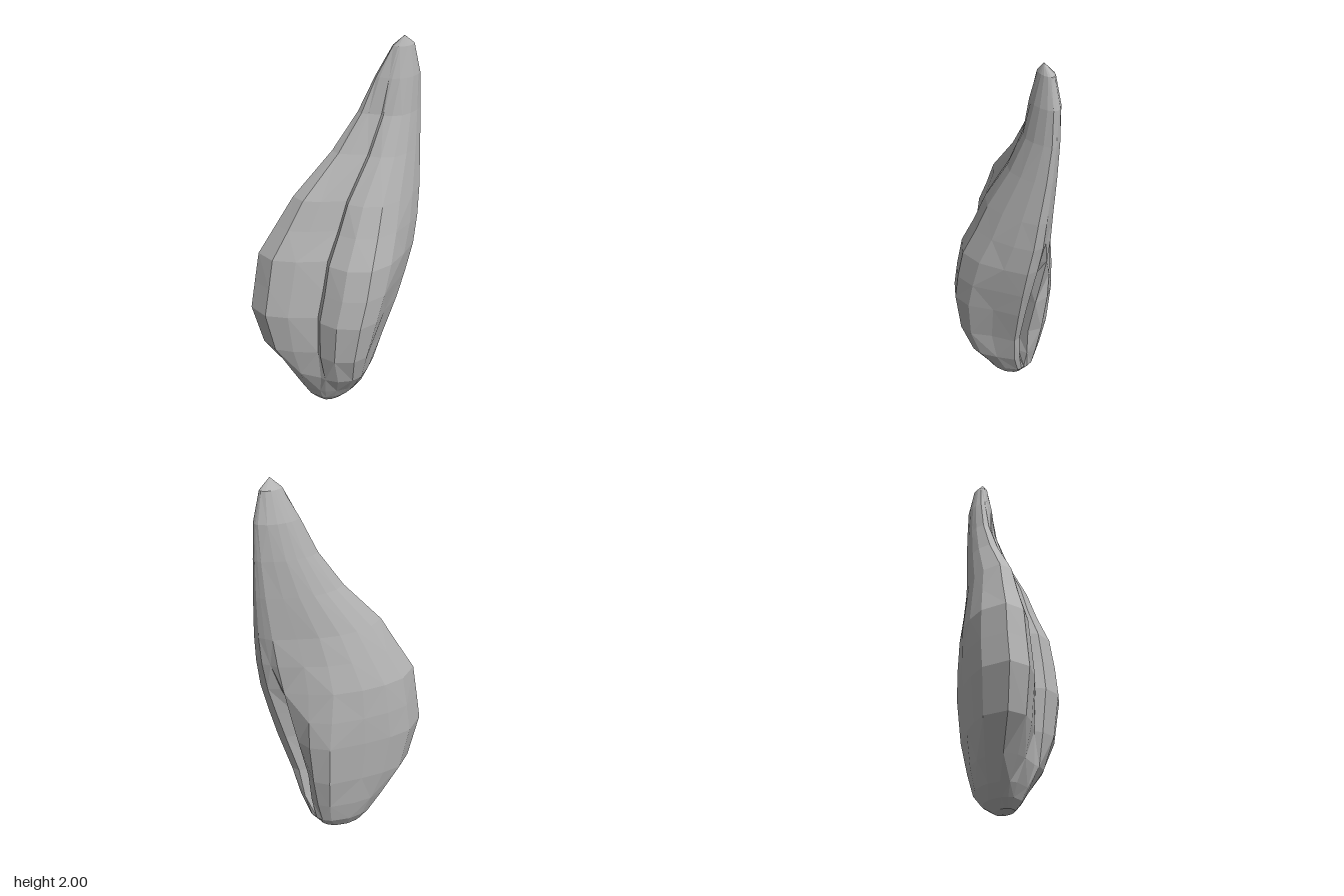
import * as THREE from 'three';

// Folded cross-sections in a unit box (x, z): a broad back lobe and a front lobe,
// parted by a crease on either side. The right-hand fold closes towards the neck.
const LOWER = [
  [0, 0.17], [0.04, 0.385], [0.17, 0.515], [0.36, 0.64], [0.345, 0.73], [0.41, 0.9],
  [0.56, 1], [0.69, 0.97], [0.81, 0.79], [0.98, 0.63], [0.95, 0.54], [0.75, 0.48],
  [0.92, 0.41], [0.95, 0.25], [0.86, 0.11], [0.57, 0.035], [0.36, 0], [0.18, 0.005],
];
const UPPER = [
  [0, 0.17], [0.04, 0.37], [0.17, 0.5], [0.365, 0.62], [0.34, 0.72], [0.42, 0.89],
  [0.56, 1], [0.73, 0.95], [0.89, 0.82], [1, 0.68], [1, 0.55], [0.97, 0.47],
  [0.93, 0.38], [0.76, 0.23], [0.61, 0.1], [0.45, 0.02], [0.3, 0], [0.15, 0.03],
];

// Height, x range, z range, and how strongly the section is folded (0 = oval).
const LEVELS = [
  [0.01, -0.12, 0.02, -0.08, 0.01, 0],
  [0.05, -0.165, 0.09, -0.13, 0.045, 0],
  [0.11, -0.21, 0.145, -0.17, 0.085, 0.15],
  [0.22, -0.28, 0.18, -0.205, 0.17, 0.55],
  [0.38, -0.38, 0.22, -0.24, 0.23, 0.95],
  [0.6, -0.435, 0.29, -0.265, 0.267, 1],
  [0.75, -0.41, 0.33, -0.267, 0.268, 1],
  [0.91, -0.385, 0.37, -0.26, 0.255, 1],
  [1.06, -0.295, 0.395, -0.225, 0.21, 1],
  [1.21, -0.21, 0.41, -0.19, 0.17, 0.95],
  [1.43, -0.01, 0.425, -0.145, 0.105, 0.85],
  [1.62, 0.12, 0.432, -0.115, 0.06, 0.7],
  [1.8, 0.2, 0.43, -0.09, 0.04, 0.35],
  [1.95, 0.28, 0.395, -0.05, 0.015, 0],
];

function ringPoint([y, x0, x1, z0, z1, fold], i) {
  const t = THREE.MathUtils.smoothstep(y, 0.3, 1.2);
  const du = THREE.MathUtils.lerp(LOWER[i][0], UPPER[i][0], t) - 0.5;
  const dv = THREE.MathUtils.lerp(LOWER[i][1], UPPER[i][1], t) - 0.5;
  const s = fold + (1 - fold) * 0.5 / Math.hypot(du, dv);
  return [
    THREE.MathUtils.lerp(x0, x1, 0.5 + du * s), y,
    THREE.MathUtils.lerp(z0, z1, 0.5 + dv * s),
  ];
}

// Skin the rings, alternating the diagonals, and close both ends to a point.
function loft() {
  const n = LOWER.length, top = LEVELS.length - 1;
  const positions = LEVELS.flatMap((level) => LOWER.flatMap((_, i) => ringPoint(level, i)));
  const base = positions.length / 3, tip = base + 1;
  positions.push(-0.04, 0, -0.04, 0.335, 2, -0.005);
  const index = [];
  for (let i = 0; i < n; i++) {
    const next = (i + 1) % n;
    for (let j = 0; j < top; j++) {
      const a = j * n + i, b = j * n + next, c = b + n, d = a + n;
      if ((i + j) % 2) index.push(a, b, c, a, c, d);
      else index.push(a, b, d, b, c, d);
    }
    index.push(base, next, i, top * n + i, top * n + next, tip);
  }
  const geometry = new THREE.BufferGeometry();
  geometry.setAttribute('position', new THREE.Float32BufferAttribute(positions, 3));
  geometry.setIndex(index);
  const faceted = geometry.toNonIndexed();
  faceted.computeVertexNormals();
  return faceted;
}

export function createModel() {
  const group = new THREE.Group();
  group.name = 'foldedPod';
  const grey = new THREE.MeshStandardMaterial({ color: 0xb4b4b4 });
  grey.name = 'grey';
  grey.flatShading = true;
  const body = new THREE.Mesh(loft(), grey);
  body.name = 'podBody';
  group.add(body);
  return group;
}
